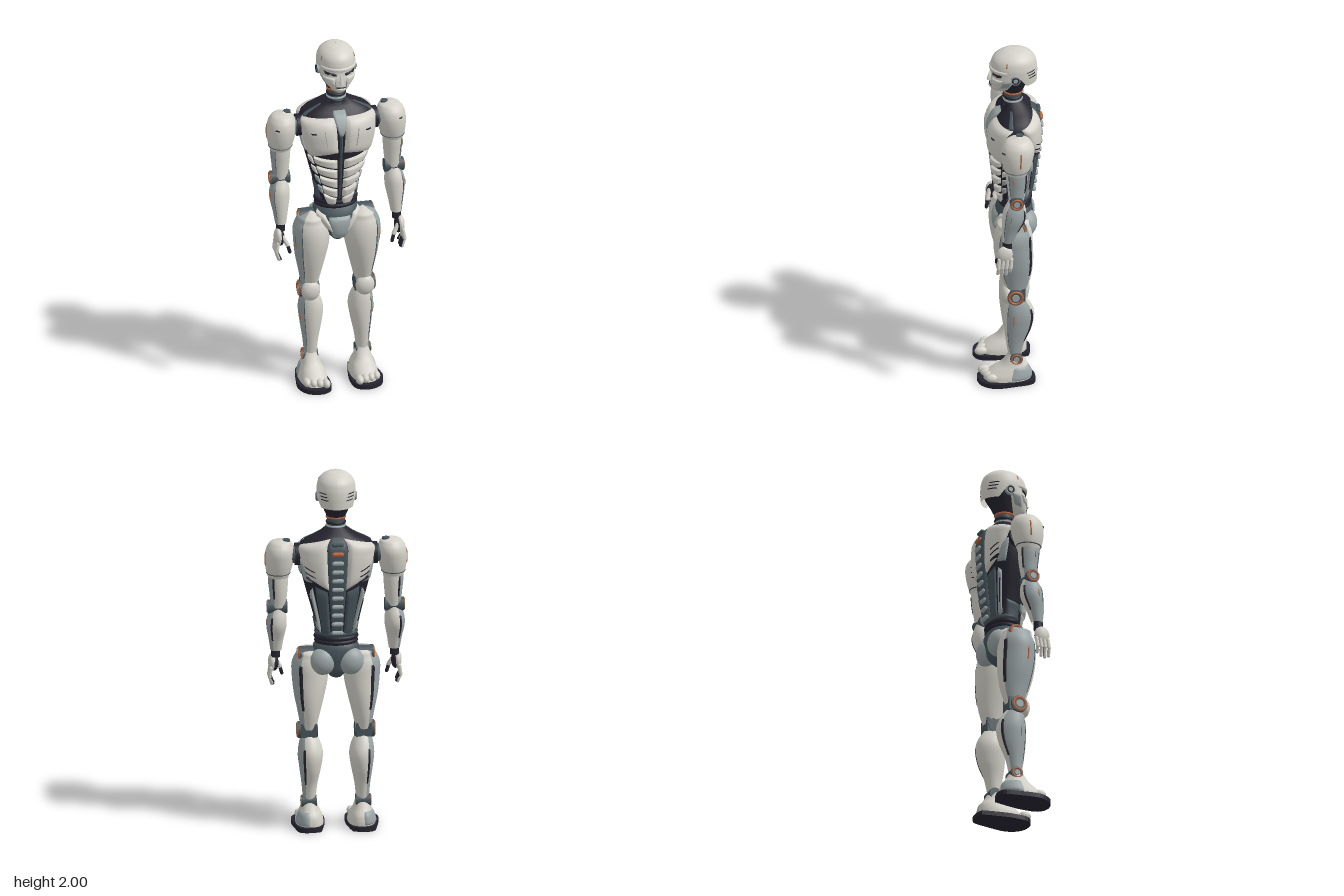
import * as THREE from 'three';
import { mergeVertices } from 'three/addons/utils/BufferGeometryUtils.js';

const mat = (name, color) => {
  const m = new THREE.MeshStandardMaterial({ color, side: THREE.DoubleSide });
  m.name = name;
  return m;
};

export function createModel() {
  const white = mat('white shell', 0xd4d2c9), grey = mat('grey panel', 0x9ba5a6), slate = mat('slate joint', 0x46545a);
  const navy = mat('dark core', 0x25242f), orange = mat('orange accent', 0xb8643c);
  const root = new THREE.Group();

  const add = (name, geo, material) => {
    const m = new THREE.Mesh(geo, material);
    m.name = name;
    root.add(m);
  };
  // adds a part and its mirror image across x = 0
  const pair = (name, geo, material) => {
    const g = geo.index ? geo : mergeVertices(geo);
    const r = g.clone().scale(-1, 1, 1), ix = r.index.array;
    for (let i = 0; i < ix.length; i += 3) [ix[i], ix[i + 1]] = [ix[i + 1], ix[i]];
    add(name + 'Left', g, material);
    add(name + 'Right', r, material);
  };

  // body surface from sections [y, cx, cz, half width, front depth, back depth]; angle 0 = front, 90 = +x
  const surface = (rows, e = 1) => {
    const curve = new THREE.CubicInterpolant(rows.map(r => r[0]), rows.flatMap(r => r.slice(1)), 5);
    return (deg, y, off) => {
      const [cx, cz, rx, zf, zb] = curve.evaluate(y), a = deg * Math.PI / 180;
      const s = Math.sin(a), c = Math.cos(a), p = v => Math.sign(v) * Math.abs(v) ** e;
      const grow = v => Math.max(v + off, 0.001);
      return [cx + grow(rx) * p(s), y, cz + grow(c > 0 ? zf : zb) * p(c)];
    };
  };
  // patch of a surface between four corners [angle, y], swelling out by lift
  const patch = (S, [bl, br, tr, tl], lift = 0, n = 14, m = n, dome = false) => {
    const pos = [], idx = [], mix = (a, b, t) => a + (b - a) * t;
    for (let j = 0; j <= m; j++) for (let i = 0; i <= n; i++) {
      const s = i / n, t = dome ? Math.sin(j / m * Math.PI / 2) : j / m;
      const f = Math.max(0, (1 - (2 * s - 1) ** 6) * (1 - (2 * t - 1) ** 6));
      const [a, y] = [0, 1].map(k => mix(mix(bl[k], br[k], s), mix(tl[k], tr[k], s), t));
      pos.push(...S(a, y, lift * Math.sqrt(f)));
      if (i < n && j < m) {
        const q = j * (n + 1) + i, u = q + n + 1;
        idx.push(q, q + 1, u + 1, q, u + 1, u);
      }
    }
    const g = new THREE.BufferGeometry();
    g.setAttribute('position', new THREE.Float32BufferAttribute(pos, 3));
    g.setIndex(idx);
    g.computeVertexNormals();
    return g;
  };
  const span = (a0, a1, y0, y1) => [[a0, y0], [a1, y0], [a1, y1], [a0, y1]];
  const loft = (S, y0, y1, dome) => patch(S, span(-180, 180, y0, y1), 0, 48, 28, dome);
  const ball = (x, y, z, rx, ry, rz) => new THREE.SphereGeometry(1, 28, 18).scale(rx, ry, rz).translate(x, y, z);
  const box = (w, h, d, x, y, z) => new THREE.BoxGeometry(w, h, d).translate(x, y, z);
  const rod = (r, x0, x1, y, z) => new THREE.CylinderGeometry(r, r, x1 - x0, 28).rotateZ(Math.PI / 2).translate((x0 + x1) / 2, y, z);
  const bone = (r, a, b) => {
    const A = new THREE.Vector3(...a), B = new THREE.Vector3(...b), d = B.clone().sub(A);
    const q = new THREE.Quaternion().setFromUnitVectors(new THREE.Vector3(0, 1, 0), d.clone().normalize());
    const c = A.add(B).multiplyScalar(0.5);
    return new THREE.CapsuleGeometry(r, d.length(), 4, 10).applyQuaternion(q).translate(c.x, c.y, c.z);
  };
  // hinge across x with an orange ring on its outer face
  const joint = (name, x0, x1, y, z, r) => {
    pair(name, rod(r, x0, x1, y, z), slate);
    pair(name + 'Ring', new THREE.TorusGeometry(r * 0.78, r * 0.14, 8, 28).rotateY(Math.PI / 2).translate(x1, y, z), orange);
    pair(name + 'Hub', rod(r * 0.45, x1 - 0.01, x1 + 0.005, y, z), grey);
  };
  // limb shell with a grey outer panel, dark rear seam and orange mark
  const limb = (name, rows, a0 = 42, a1 = 148) => {
    const S = surface(rows), y0 = rows[0][0], y1 = rows.at(-1)[0], h = y1 - y0;
    pair(name + 'Shell', patch(S, span(a1, a0 + 360, y0, y1), 0, 34, 24), white);
    pair(name + 'Panel', patch(S, span(a0, a1, y0, y1), 0, 16, 24), grey);
    pair(name + 'RearSeam', patch(S, span(a1 - 8, a1 + 5, y0 + h * 0.25, y0 + h * 0.8), 0.004, 4, 14), navy);
    pair(name + 'FrontSeam', patch(S, span(a0 - 1, a0 + 2, y0 + h * 0.15, y0 + h * 0.85), 0.003, 4, 14), slate);
    pair(name + 'Mark', patch(S, span(70, 74, y0 + h * 0.55, y0 + h * 0.72), 0.003, 4, 6), orange);
  };

  // torso core
  const T = surface([[1.04, 0, -0.03, 0.1, 0.075, 0.075], [1.15, 0, -0.03, 0.112, 0.1, 0.085], [1.25, 0, -0.03, 0.137, 0.115, 0.097],
    [1.35, 0, -0.03, 0.165, 0.125, 0.11], [1.45, 0, -0.03, 0.188, 0.137, 0.12], [1.55, 0, -0.03, 0.196, 0.13, 0.122],
    [1.61, 0, -0.03, 0.185, 0.095, 0.112], [1.65, 0, -0.03, 0.11, 0.06, 0.085], [1.69, 0, -0.02, 0.05, 0.045, 0.05]], 0.82);
  add('torsoCore', loft(T, 1.04, 1.69), navy);
  // chest
  pair('chestPlate', patch(T, [[3, 1.4], [62, 1.37], [79, 1.6], [5, 1.6]], 0.026, 24), white);
  pair('chestVent', patch(T, span(31, 45, 1.522, 1.534), 0.031, 6, 4), navy);
  pair('chestSeam', patch(T, [[16, 1.42], [17, 1.42], [22, 1.57], [20, 1.57]], 0.028, 4, 10), grey);
  pair('chestSidePlate', patch(T, [[66, 1.39], [78, 1.41], [92, 1.56], [82, 1.57]], 0.016), grey);
  add('sternum', patch(T, [[-1, 1.5], [1, 1.5], [9, 1.63], [-9, 1.63]], 0.022), grey);
  add('sternumLine', patch(T, span(-1.2, 1.2, 1.1, 1.56), 0.014, 4, 24), slate);
  pair('collarStrap', patch(T, [[66, 1.595], [80, 1.6], [72, 1.66], [58, 1.66]], 0.006), slate);
  // abdomen, four rows of swept ribs
  for (let i = 0; i < 4; i++) {
    const y = 1.3 - i * 0.062, w = 50 - i * 3;
    pair('abdomenPlate', patch(T, [[4, y], [w, y + 0.035], [w + 3, y + 0.078], [4, y + 0.054]], 0.019), white);
    pair('sideRib', patch(T, [[w + 5, y + 0.02], [w + 20, y + 0.04], [w + 22, y + 0.075], [w + 7, y + 0.068]], 0.009), i < 2 ? white : grey);
  }
  pair('lowerAbdomenPlate', patch(T, [[6, 1.07], [30, 1.07], [46, 1.14], [5, 1.108]], 0.014), white);
  pair('flankPlate', patch(T, [[62, 1.09], [100, 1.09], [104, 1.2], [66, 1.18]], 0.008), slate);
  // back
  pair('shoulderBlade', patch(T, [[134, 1.42], [169, 1.36], [167, 1.645], [97, 1.6]], 0.021, 22), white);
  pair('bladePanel', patch(T, [[112, 1.4], [135, 1.4], [126, 1.5], [104, 1.54]], 0.013), grey);
  for (let i = 0; i < 3; i++)
    pair('backSlit', patch(T, [[126, 1.495 - i * 0.032], [152, 1.46 - i * 0.03], [152, 1.468 - i * 0.03], [126, 1.504 - i * 0.032]], 0.025, 10, 4), navy);
  pair('lowerBackPanel', patch(T, [[136, 1.1], [164, 1.1], [166, 1.35], [140, 1.38]], 0.01), slate);
  pair('backStrut', patch(T, [[116, 1.12], [132, 1.11], [133, 1.37], [122, 1.35]], 0.014), grey);
  pair('strutSlot', patch(T, span(123, 128, 1.16, 1.32), 0.018, 4, 10), navy);
  add('spineBase', patch(T, span(168, 192, 1.08, 1.65), 0.017, 10, 28), slate);
  for (let i = 0; i < 11; i++) {
    const y = 1.62 - i * 0.05, z = T(180, y, 0)[2];
    add('vertebra', bone(0.012, [-0.02, y, z - 0.018], [0.02, y, z - 0.018]), i === 1 ? orange : i < 1 ? slate : grey);
  }

  // waist and pelvis
  for (const [y, r] of [[1.055, 0.105], [1.08, 0.108], [1.105, 0.105]])
    add('waistRing', new THREE.TorusGeometry(r, 0.013, 10, 40).rotateX(Math.PI / 2).scale(1, 1, 0.76).translate(0, y, -0.03), y > 1.09 ? slate : navy);
  const P = surface([[0.85, 0, -0.01, 0.03, 0.05, 0.05], [0.88, 0, -0.015, 0.055, 0.085, 0.085], [0.94, 0, -0.02, 0.09, 0.105, 0.1],
    [1.0, 0, -0.025, 0.125, 0.1, 0.1], [1.04, 0, -0.03, 0.115, 0.085, 0.085], [1.06, 0, -0.03, 0.09, 0.07, 0.07]], 0.9);
  add('pelvisCore', loft(P, 0.85, 1.06), slate);
  pair('pelvisPlate', patch(P, [[20, 0.9], [48, 0.93], [68, 1.035], [34, 1.01]], 0.013), white);
  add('pelvisFront', patch(P, [[-42, 0.862], [42, 0.862], [26, 1.0], [-26, 1.0]], 0.011), grey);
  pair('buttock', ball(0.075, 0.95, -0.085, 0.072, 0.075, 0.058), grey);
  joint('hip', 0.1, 0.2, 0.975, -0.03, 0.045);

  // legs
  limb('thigh', [[0.56, 0.148, -0.02, 0.042, 0.045, 0.055], [0.65, 0.145, -0.02, 0.06, 0.078, 0.082], [0.75, 0.143, -0.015, 0.082, 0.1, 0.1],
    [0.85, 0.139, -0.01, 0.097, 0.108, 0.103], [0.93, 0.141, -0.01, 0.095, 0.102, 0.098], [0.98, 0.142, -0.01, 0.07, 0.082, 0.08],
    [1.01, 0.143, -0.01, 0.04, 0.055, 0.05], [1.015, 0.143, -0.01, 0.002, 0.002, 0.002]]);
  joint('knee', 0.1, 0.205, 0.55, -0.017, 0.046);
  pair('kneeCap', ball(0.15, 0.55, 0.024, 0.052, 0.058, 0.036), white);
  pair('kneeBack', box(0.085, 0.075, 0.04, 0.148, 0.555, -0.05), slate);
  limb('calf', [[0.16, 0.143, -0.015, 0.034, 0.034, 0.036], [0.25, 0.142, -0.018, 0.043, 0.05, 0.055], [0.34, 0.139, -0.025, 0.058, 0.067, 0.085],
    [0.43, 0.138, -0.03, 0.067, 0.073, 0.09], [0.49, 0.142, -0.025, 0.055, 0.06, 0.07], [0.53, 0.146, -0.02, 0.038, 0.04, 0.045]]);
  joint('ankle', 0.105, 0.185, 0.15, -0.022, 0.034);

  // feet
  const F = surface([[0.02, 0.14, 0.02, 0.076, 0.135, 0.125], [0.05, 0.14, 0.02, 0.073, 0.12, 0.125], [0.08, 0.14, 0.01, 0.063, 0.092, 0.108],
    [0.11, 0.142, 0, 0.05, 0.06, 0.078], [0.15, 0.143, -0.01, 0.04, 0.04, 0.045], [0.18, 0.143, -0.015, 0.03, 0.03, 0.03]], 0.85);
  pair('foot', loft(F, 0.02, 0.18), white);
  pair('heelPanel', patch(F, span(95, 175, 0.03, 0.1), 0.006), grey);
  for (let i = 0; i < 4; i++)
    pair('toe', ball(0.092 + i * 0.033, 0.043, 0.145 - i * 0.012, 0.021, 0.024, 0.034), white);
  const outline = [[0.085, -0.11], [0.14, -0.125], [0.2, -0.11], [0.222, -0.02], [0.234, 0.09], [0.195, 0.165], [0.12, 0.186], [0.066, 0.15], [0.056, 0.06], [0.068, -0.03]];
  const soleCurve = new THREE.SplineCurve([...outline, outline[0]].map(([x, z]) => new THREE.Vector2(x, -z)));
  pair('sole', new THREE.ExtrudeGeometry(new THREE.Shape(soleCurve.getPoints(40)), { depth: 0.025, bevelEnabled: false }).rotateX(-Math.PI / 2), navy);

  // shoulders and arms
  const D = surface([[1.41, 0.31, -0.012, 0.055, 0.06, 0.06], [1.45, 0.308, -0.013, 0.068, 0.075, 0.075], [1.51, 0.304, -0.015, 0.078, 0.088, 0.088],
    [1.555, 0.301, -0.017, 0.077, 0.088, 0.09], [1.59, 0.298, -0.018, 0.066, 0.073, 0.075], [1.612, 0.295, -0.02, 0.043, 0.047, 0.047], [1.622, 0.295, -0.02, 0.002, 0.002, 0.002]]);
  pair('shoulderCap', loft(D, 1.41, 1.622, true), white);
  pair('shoulderStripe', patch(D, span(96, 101, 1.47, 1.56), 0.004, 4, 8), orange);
  pair('shoulderVent', patch(D, span(20, 38, 1.545, 1.553), 0.004, 8, 3), navy);
  pair('shoulderSeam', patch(D, span(-180, 180, 1.428, 1.434), 0.003, 40, 3), slate);
  pair('shoulderBolt', new THREE.CylinderGeometry(0.02, 0.02, 0.012, 20).translate(0.268, 1.616, -0.03), slate);
  pair('shoulderSocket', rod(0.06, 0.16, 0.222, 1.535, -0.02), navy);
  pair('shoulderCollar', rod(0.048, 0.2, 0.25, 1.535, -0.02), slate);
  limb('upperArm', [[1.24, 0.31, -0.008, 0.04, 0.04, 0.042], [1.32, 0.309, -0.01, 0.048, 0.05, 0.054], [1.39, 0.31, -0.01, 0.054, 0.058, 0.06], [1.45, 0.308, -0.01, 0.055, 0.06, 0.06]]);
  joint('elbow', 0.262, 0.366, 1.24, -0.008, 0.037);
  limb('forearm', [[0.985, 0.318, 0.035, 0.03, 0.032, 0.032], [1.05, 0.318, 0.025, 0.04, 0.044, 0.046], [1.13, 0.318, 0.005, 0.054, 0.062, 0.064],
    [1.18, 0.316, 0, 0.052, 0.06, 0.06], [1.235, 0.312, -0.005, 0.035, 0.038, 0.038]]);
  pair('wrist', new THREE.CylinderGeometry(0.025, 0.025, 0.05, 20).translate(0.32, 0.97, 0.04), navy);

  // hands
  pair('handBack', ball(0.336, 0.912, 0.055, 0.023, 0.05, 0.043), white);
  pair('palm', ball(0.325, 0.908, 0.055, 0.022, 0.046, 0.039), navy);
  for (let i = 0; i < 4; i++) {
    const z = 0.09 - i * 0.022, tip = 0.785 + [0.01, 0, 0.005, 0.022][i];
    const root0 = [0.345, 0.885, z - 0.004], mid = [0.352, 0.835, z], end = [0.338, tip, z + 0.003];
    pair('fingerBase', bone(0.0098, root0, mid), white);
    pair('fingerTip', bone(0.0088, mid, end), white);
    pair('fingerPad', bone(0.0075, [0.347, 0.83, z], [0.333, tip + 0.002, z + 0.003]), navy);
  }
  pair('thumbBase', bone(0.012, [0.318, 0.92, 0.078], [0.293, 0.875, 0.09]), white);
  pair('thumbTip', bone(0.0095, [0.293, 0.875, 0.09], [0.282, 0.835, 0.095]), navy);

  // neck
  add('neckColumn', new THREE.CylinderGeometry(0.048, 0.05, 0.11, 32).translate(0, 1.705, -0.018), slate);
  for (const [y, m] of [[1.675, navy], [1.693, grey], [1.713, navy], [1.742, orange]])
    add('neckRing', new THREE.TorusGeometry(0.048, 0.007, 8, 36).rotateX(Math.PI / 2).translate(0, y, -0.018), m);
  const N = surface([[1.745, 0, -0.02, 0.05, 0.05, 0.05], [1.79, 0, -0.03, 0.068, 0.06, 0.062], [1.84, 0, -0.03, 0.085, 0.07, 0.095], [1.88, 0, -0.03, 0.09, 0.07, 0.1]]);
  add('skullBase', loft(N, 1.745, 1.88), navy);

  // head
  const H = surface([[1.8, 0, -0.03, 0.093, 0.09, 0.117], [1.84, 0, -0.03, 0.1, 0.115, 0.119], [1.88, 0, -0.03, 0.104, 0.13, 0.12], [1.92, 0, -0.03, 0.103, 0.13, 0.116],
    [1.96, 0, -0.03, 0.089, 0.112, 0.1], [1.985, 0, -0.03, 0.06, 0.075, 0.068], [1.996, 0, -0.03, 0.032, 0.04, 0.036], [2, 0, -0.03, 0.002, 0.002, 0.002]]);
  add('cranium', loft(H, 1.89, 2, true), white);
  add('craniumBack', patch(H, [[118, 1.812], [242, 1.812], [270, 1.892], [90, 1.892]], 0, 32), white);
  add('browRidge', patch(H, span(-68, 68, 1.884, 1.906), 0.007, 30, 6), white);
  for (let i = 0; i < 3; i++)
    pair('headVent', patch(H, span(118 + i * 3, 146 + i * 3, 1.894 - i * 0.018, 1.9 - i * 0.018), 0.004, 8, 3), navy);
  pair('templeMark', patch(H, span(64, 67, 1.93, 1.955), 0.003, 3, 5), orange);
  const K = surface([[1.745, 0, 0.04, 0.018, 0.03, 0.02], [1.765, 0, 0.03, 0.043, 0.07, 0.03], [1.8, 0, 0.02, 0.07, 0.083, 0.045],
    [1.84, 0, 0.01, 0.09, 0.09, 0.07], [1.865, 0, 0, 0.094, 0.094, 0.09], [1.9, 0, -0.01, 0.097, 0.102, 0.1]], 0.92);
  add('face', loft(K, 1.745, 1.9), white);
  add('chinBase', ball(0, 1.752, 0.052, 0.022, 0.009, 0.026), grey);
  pair('eye', patch(K, [[14, 1.857], [56, 1.865], [60, 1.882], [12, 1.872]], 0.005, 12, 6), navy);
  pair('eyeGlint', patch(K, span(26, 38, 1.864, 1.87), 0.008, 6, 4), grey);
  pair('cheek', patch(K, [[22, 1.805], [58, 1.815], [70, 1.85], [18, 1.848]], 0.007), white);
  pair('cheekLine', patch(K, [[24, 1.785], [28, 1.785], [20, 1.83], [16, 1.83]], 0.004, 4, 8), grey);
  pair('jawPanel', patch(K, [[66, 1.785], [100, 1.795], [104, 1.85], [72, 1.84]], 0.005), grey);
  add('nose', new THREE.ConeGeometry(0.02, 0.06, 4, 1).rotateY(Math.PI / 4).scale(0.8, 1, 1.2).translate(0, 1.845, 0.104), white);
  add('mouth', patch(K, span(-24, 24, 1.789, 1.794), 0.005, 14, 4), navy);
  add('lowerLip', patch(K, span(-18, 18, 1.777, 1.787), 0.006, 12, 5), white);
  pair('earDisc', rod(0.026, 0.085, 0.106, 1.858, -0.025), grey);
  pair('earRing', new THREE.TorusGeometry(0.017, 0.004, 8, 24).rotateY(Math.PI / 2).translate(0.106, 1.858, -0.025), navy);
  return root;
}
